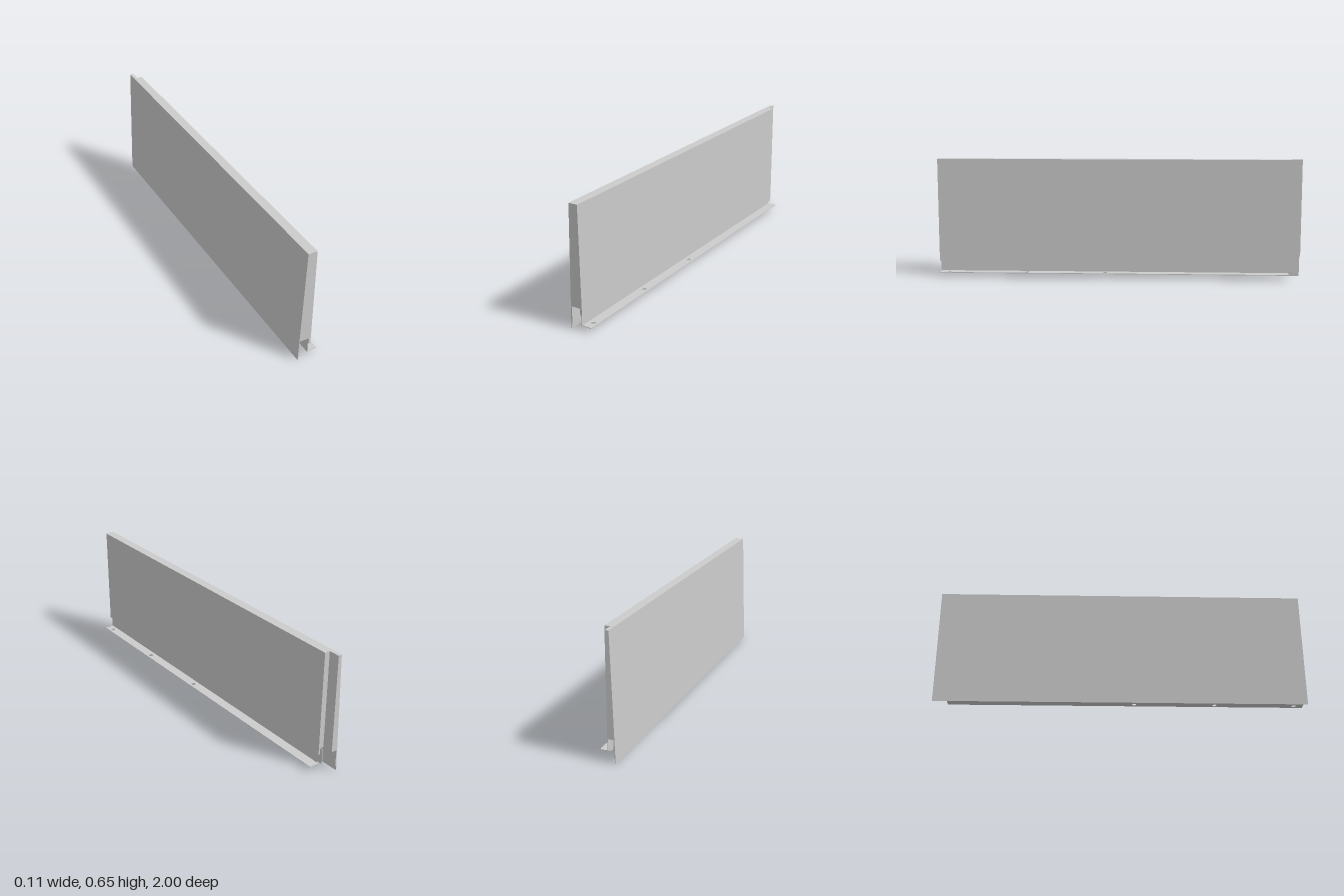
import * as THREE from 'three';

const material = new THREE.MeshStandardMaterial({ color: 0xcccccc, flatShading: true });

const shapeOf = (points) => new THREE.Shape(points.map(([a, b]) => new THREE.Vector2(a, b)));

function extrude(name, shape, depth) {
  const geometry = new THREE.ExtrudeGeometry(shape, { depth, bevelEnabled: false, curveSegments: 12 });
  const mesh = new THREE.Mesh(geometry, material);
  mesh.name = name;
  return mesh;
}

// Extrude an x/y profile between two z positions
function alongZ(name, points, z0, z1) {
  const mesh = extrude(name, shapeOf(points), z1 - z0);
  mesh.position.z = z0;
  return mesh;
}

export function createModel() {
  const group = new THREE.Group();
  group.name = 'drawerSide';

  const top = 0.652, ceiling = 0.12, rear = -0.94;

  // Leaning outer wall with its stepped hem, shared by both sections
  const outerWall = [
    [-0.048, ceiling], [-0.048, 0.026], [-0.0525, 0.026], [-0.0535, 0], [-0.0565, 0], [-0.0365, top],
  ];

  // Main panel, open channel underneath and a lip on the inner side
  group.add(alongZ('mainPanel', [
    [0.0125, top], [0.0125, 0.084], [0.002, 0.084], [0.002, ceiling], ...outerWall,
  ], rear, 1));

  // Narrower rear end, recessed from the inner face
  group.add(alongZ('rearTongue', [[-0.017, top], [-0.017, ceiling], ...outerWall], -1, rear));

  // Thin lower inner wall with a notched rear corner (z/y outline, thickness in x)
  const wall = extrude('lowerInnerWall', shapeOf([
    [-0.995, 0.025], [0.925, 0.025], [0.925, 0.036], [0.957, 0.036], [0.957, ceiling], [-0.995, ceiling],
  ]), 0.003);
  wall.rotation.y = Math.PI / 2;
  wall.position.x = 0.001;
  group.add(wall);

  // Horizontal mounting flange with three screw holes
  const flangeShape = shapeOf([[0.001, -0.99], [0.0565, -0.99], [0.0565, 0.932], [0.001, 0.932]]);
  for (const z of [0.075, 0.51, 0.942]) {
    const hole = new THREE.Path();
    hole.absarc(0.033, -z, 0.012, 0, Math.PI * 2, true);
    flangeShape.holes.push(hole);
  }
  const flange = extrude('mountingFlange', flangeShape, 0.0025);
  flange.rotation.x = -Math.PI / 2;
  flange.position.y = 0.0245;
  group.add(flange);

  return group;
}
